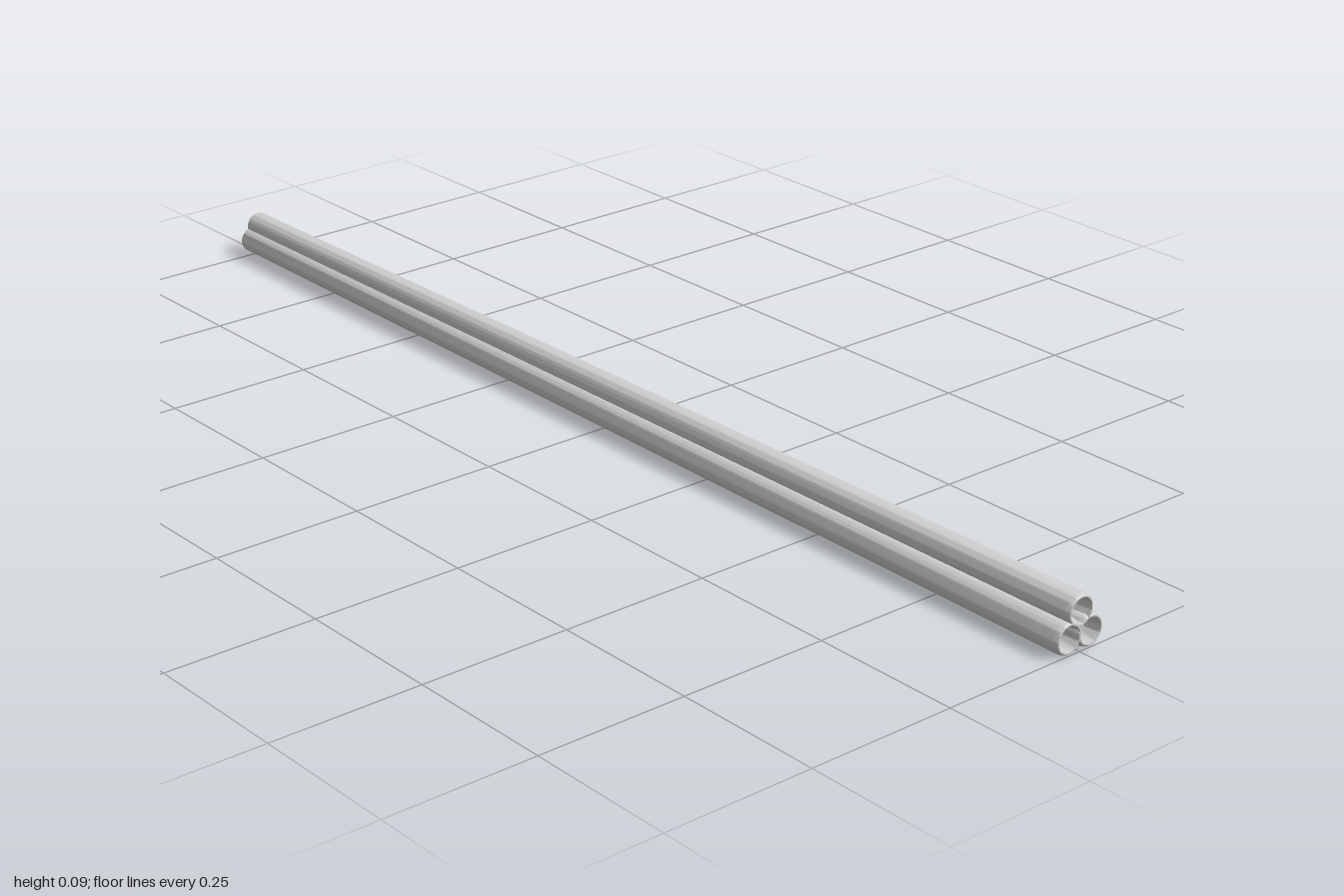
import * as THREE from 'three';
import { toCreasedNormals } from 'three/addons/utils/BufferGeometryUtils.js';

const FRONT_RADIUS = 0.0258, BACK_RADIUS = 0.0217;   // each tube narrows to the back
const FRONT_SPREAD = 0.0243, BACK_SPREAD = 0.0165;   // distance of tube axis from the bundle axis
const BUNDLE_Y = FRONT_RADIUS + FRONT_SPREAD / 2;

// One tube along z: closed back, tapered wall, bevelled muzzle and a blind bore
function tubeGeometry(angle) {
  const profile = [
    [0, -1],
    [BACK_RADIUS, -1],
    [FRONT_RADIUS, 0.993],
    [0.0243, 0.998],
    [0.0225, 1],
    [0.0205, 1],
    [0.019, 0.994],
    [0.0155, 0.95],
    [0, 0.95],
  ].map(([r, y]) => new THREE.Vector2(r, y));
  const geometry = new THREE.LatheGeometry(profile, 48);
  geometry.rotateX(Math.PI / 2);

  // Lean the tube toward the bundle axis while keeping its ends flat
  const pos = geometry.attributes.position;
  for (let i = 0; i < pos.count; i++) {
    const t = (pos.getZ(i) + 1) / 2;
    const spread = THREE.MathUtils.lerp(BACK_SPREAD, FRONT_SPREAD, t);
    pos.setX(i, pos.getX(i) + spread * Math.cos(angle));
    pos.setY(i, pos.getY(i) + spread * Math.sin(angle));
  }
  return toCreasedNormals(geometry, Math.PI / 6);
}

export function createModel() {
  const model = new THREE.Group();
  model.name = 'tubeBundle';
  const material = new THREE.MeshStandardMaterial({ color: 0xcccccc });

  // Three tubes in a triangle, one on top
  ['topTube', 'rightTube', 'leftTube'].forEach((name, i) => {
    const angle = Math.PI / 2 + (i * 2 * Math.PI) / 3;
    const tube = new THREE.Mesh(tubeGeometry(angle), material);
    tube.name = name;
    tube.position.y = BUNDLE_Y;
    model.add(tube);
  });
  return model;
}
